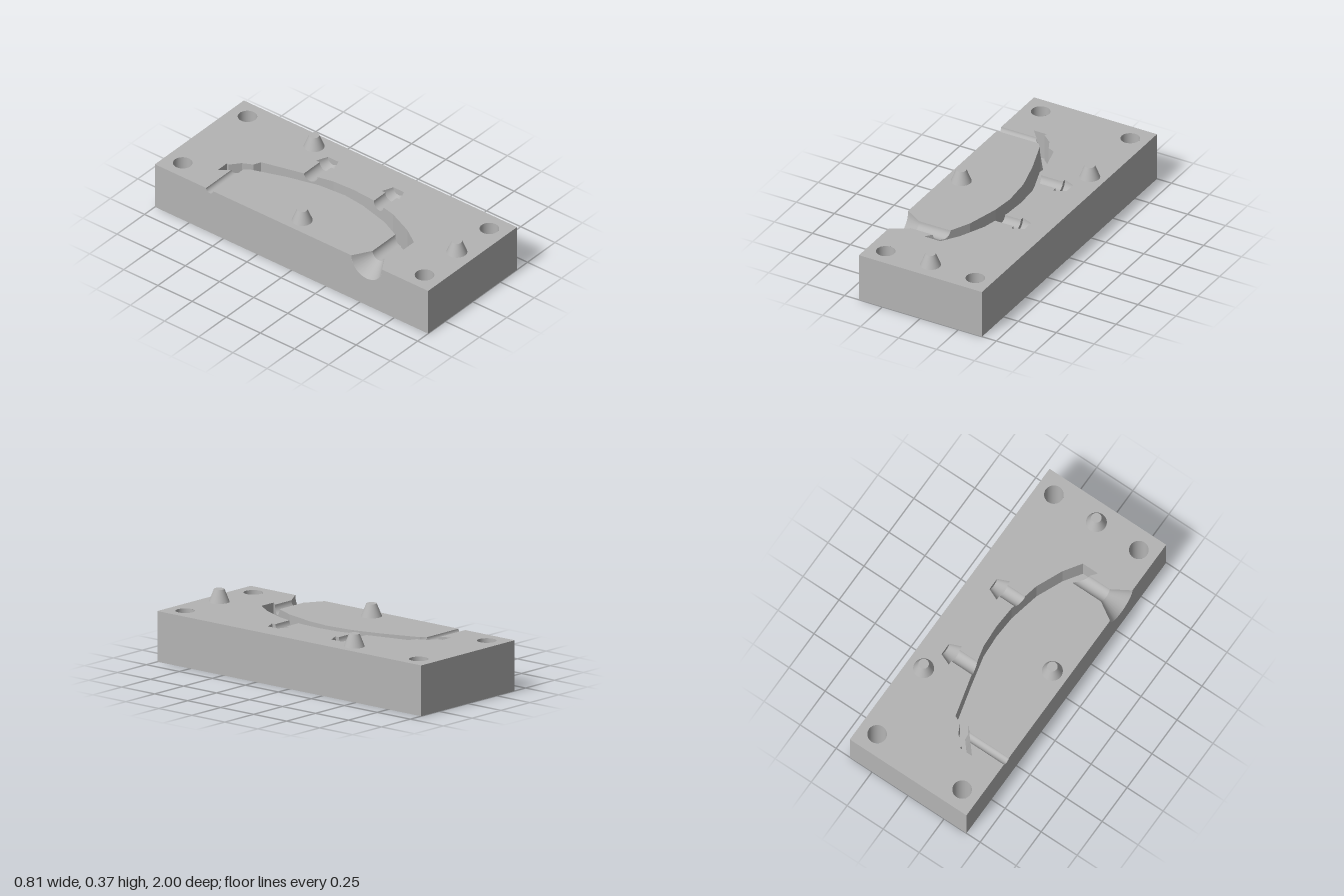
import * as THREE from 'three';

const W = 0.405, L = 1, Y = 0.298, FLOOR = 0.13;
const BOLT_R = 0.056, SIDES = 16;

// cavity rims as [x, z], from front to back
const leftRim = [[-0.185, 0.635], [-0.1, 0.53], [-0.03, 0.38], [0.02, 0.18], [0.035, 0.04],
  [0.02, -0.14], [-0.03, -0.33], [-0.105, -0.545], [-0.225, -0.685]];
const rightRim = [[-0.08, 0.635], [-0.01, 0.53], [0.06, 0.37], [0.1, 0.18], [0.108, 0.04],
  [0.1, -0.1], [0.055, -0.29], [-0.01, -0.54], [-0.055, -0.56], [-0.085, -0.62],
  [-0.145, -0.67], [-0.14, -0.685]];

// half-round channels: z centre, radius at the cavity, then profile of [x, r]
const leftChannels = [
  { name: 'pouringFunnel', z: 0.55, r: 0.045, path: [[-0.295, 0.045], [-W, 0.1125]] },
  { name: 'ventChannel', z: -0.6, r: 0.025, path: [[-W, 0.025]] },
];
const rightChannels = [0.242, -0.238].map((z) => ({
  name: 'pegRecess', z, r: 0.042, path: [[0.2, 0.042], [0.2, 0.067], [0.27, 0.038], [0.27, 0]],
}));

function rimX(rim, z) {
  for (let i = 0; i < rim.length - 1; i++) {
    const [x0, z0] = rim[i], [x1, z1] = rim[i + 1];
    if (z <= z0 + 1e-9 && z >= z1 - 1e-9) return x0 + (x1 - x0) * (z0 - z) / (z0 - z1);
  }
  return rim[rim.length - 1][0];
}

// surface through rows of [x, y, z] points
function skin(rows) {
  const n = rows[0].length, index = [];
  for (let r = 0; r < rows.length - 1; r++) {
    for (let i = 0; i < n - 1; i++) {
      const a = r * n + i, b = a + n;
      index.push(a, b, a + 1, a + 1, b, b + 1);
    }
  }
  const g = new THREE.BufferGeometry();
  g.setAttribute('position', new THREE.Float32BufferAttribute(rows.flat(2), 3));
  g.setIndex(index);
  g.computeVertexNormals();
  return g;
}

// horizontal face from [x, z] points
const planShape = (pts) => new THREE.Shape(pts.map(([x, z]) => new THREE.Vector2(x, -z)));
const planFace = (shape, y) => new THREE.ShapeGeometry(shape, 24).rotateX(-Math.PI / 2).translate(0, y, 0);

export function createModel() {
  const group = new THREE.Group();
  const grey = new THREE.MeshStandardMaterial({ color: 0xb4b4b4, side: THREE.DoubleSide });
  const add = (name, geometry, x = 0, y = 0, z = 0) => {
    const mesh = new THREE.Mesh(geometry, grey);
    mesh.name = name;
    mesh.position.set(x, y, z);
    group.add(mesh);
  };

  const bolts = [];
  for (const x of [-0.295, 0.295]) for (const z of [-0.885, 0.885]) bolts.push([x, z]);
  const drill = (shape) => {
    for (const [x, z] of bolts) shape.holes.push(new THREE.Path().absarc(x, -z, BOLT_R, 0, Math.PI * 2, true));
    return shape;
  };

  // top face of the island between the two left channels
  const lx = (z) => [rimX(leftRim, z), z];
  const rx = (z) => [rimX(rightRim, z), z];
  add('topIsland', planFace(planShape([
    [-W, 0.4375], [-0.295, 0.505], lx(0.505),
    ...leftRim.filter(([, z]) => z < 0.505 && z > -0.575),
    lx(-0.575), [-W, -0.575],
  ]), Y));

  // rest of the top face, with the peg recesses cut out
  const inner = [];
  let from = 1;
  for (const { z, r, path } of rightChannels) {
    inner.push(...rightRim.filter((p) => p[1] <= from && p[1] > z + r), rx(z + r));
    for (const [x, pr] of path.slice(0, 3)) inner.push([x, z + pr]);
    for (const [x, pr] of path.slice(0, 3).reverse()) inner.push([x, z - pr]);
    inner.push(rx(z - r));
    from = z - r;
  }
  inner.push(...rightRim.filter((p) => p[1] < from));
  add('topFace', planFace(drill(planShape([
    [-W, -L], [W, -L], [W, L], [-W, L], [-W, 0.6625], [-0.295, 0.595], lx(0.595),
    leftRim[0], ...inner, leftRim[leftRim.length - 1], lx(-0.625), [-W, -0.625],
  ])), Y));

  // bottom and plain sides
  const bottom = drill(planShape([[-W, -L], [W, -L], [W, L], [-W, L]]));
  add('bottomFace', new THREE.ShapeGeometry(bottom, 24).rotateX(Math.PI / 2).scale(1, 1, -1));
  add('frontFace', new THREE.PlaneGeometry(2 * W, Y), 0, Y / 2, L);
  add('backFace', new THREE.PlaneGeometry(2 * W, Y).rotateY(Math.PI), 0, Y / 2, -L);
  add('leftFace', new THREE.PlaneGeometry(2 * L, Y).rotateY(Math.PI / 2), W, Y / 2, 0);

  // side where the channels open
  const side = new THREE.Shape();
  side.moveTo(-L, 0);
  side.lineTo(L, 0);
  side.lineTo(L, Y);
  side.absarc(0.55, Y, 0.1125, 0, Math.PI, true);
  side.absarc(-0.6, Y, 0.025, 0, Math.PI, true);
  side.lineTo(-L, Y);
  add('rightFace', new THREE.ShapeGeometry(side, SIDES).rotateY(-Math.PI / 2), -W, 0, 0);

  // cavity walls, notched where channels meet them
  const slant = (rim, z) => (rim === leftRim && z < -0.545 ? 0.03 : 0);
  for (const [rim, channels] of [[leftRim, leftChannels], [rightRim, rightChannels]]) {
    const zs = rim.map((p) => p[1]);
    for (const c of channels) {
      for (let i = 0; i <= SIDES; i++) zs.push(c.z + c.r * Math.cos(Math.PI * i / SIDES));
    }
    zs.sort((a, b) => b - a);
    for (let i = 0; i < zs.length - 1; i++) {
      const pair = [zs[i], zs[i + 1]];
      const top = pair.map((z) => {
        const c = channels.find((k) => Math.abs(z - k.z) < k.r);
        return [rimX(rim, z), c ? Y - Math.sqrt(c.r ** 2 - (z - c.z) ** 2) : Y, z];
      });
      const low = pair.map((z) => [rimX(rim, z) + slant(rim, z), FLOOR, z]);
      add('cavityWall', skin(rim === leftRim ? [top, low] : [low, top]));
    }
  }
  for (const end of ['front', 'back']) {
    const pick = (rim) => (end === 'front' ? rim[0] : rim[rim.length - 1]);
    const [a, b] = [pick(leftRim), pick(rightRim)];
    add(end + 'CavityEnd', skin([Y, FLOOR].map((y) => [[a[0], y, a[1]], [b[0], y, b[1]]])));
  }
  add('cavityFloor', planFace(planShape([...leftRim, ...[...rightRim].reverse()]), FLOOR));

  // half-round channels
  for (const [rim, channels] of [[leftRim, leftChannels], [rightRim, rightChannels]]) {
    for (const { name, z, r, path } of channels) {
      const rings = [[null, r], ...path].map(([x, pr]) => Array.from({ length: SIDES + 1 }, (_, i) => {
        const a = Math.PI * i / SIDES, pz = z + pr * Math.cos(a);
        return [x ?? rimX(rim, pz), Y - pr * Math.sin(a), pz];
      }));
      for (let i = 0; i < rings.length - 1; i++) {
        add(name, skin(rim === leftRim ? [rings[i], rings[i + 1]] : [rings[i + 1], rings[i]]));
      }
    }
  }

  // bolt holes and tapered locating pins
  for (const [x, z] of bolts) add('boltHole', new THREE.CylinderGeometry(BOLT_R, BOLT_R, Y, 32, 1, true), x, Y / 2, z);
  for (const [x, z] of [[0.305, -0.405], [-0.308, 0], [0, 0.885]]) {
    add('locatingPin', new THREE.CylinderGeometry(0.03, 0.06, 0.075, 32), x, Y + 0.0375, z);
  }
  return group;
}
